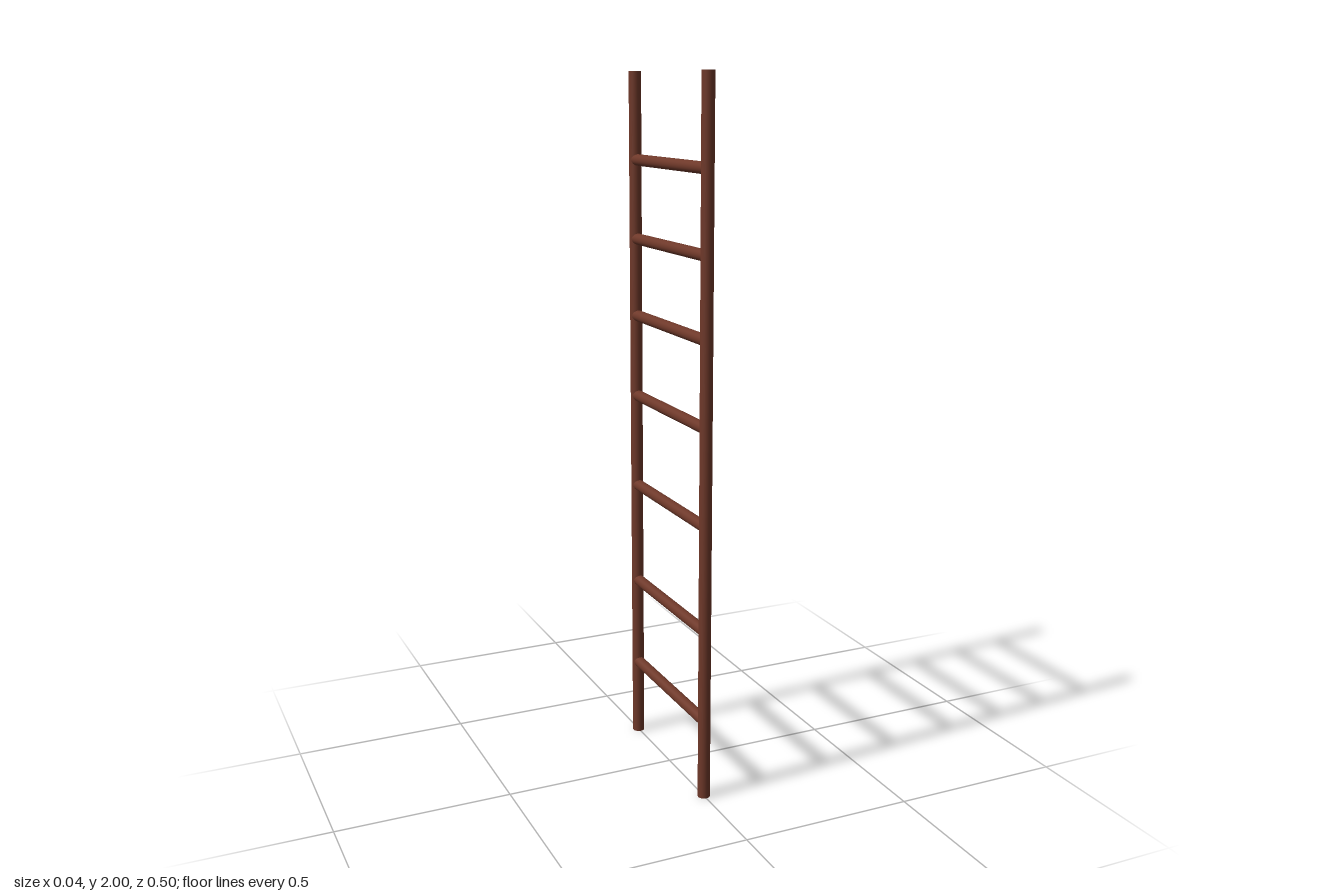
import * as THREE from 'three';

export function createModel() {
  const wood = new THREE.MeshStandardMaterial({ color: 0x6e3829 });
  wood.name = 'reddish brown wood';

  const ladder = new THREE.Group();
  ladder.name = 'ladder';

  const railZ = 0.235;

  // Two upright round side rails
  const railGeometry = new THREE.CylinderGeometry(0.0175, 0.0175, 2, 32);
  for (const side of [1, -1]) {
    const rail = new THREE.Mesh(railGeometry, wood);
    rail.name = side > 0 ? 'frontRail' : 'backRail';
    rail.position.set(0, 1, side * railZ);
    ladder.add(rail);
  }

  // Unevenly spaced round rungs, with ends buried in the rails
  const rungGeometry = new THREE.CylinderGeometry(0.016, 0.016, railZ * 2, 32);
  rungGeometry.rotateX(Math.PI / 2);
  [0.231, 0.498, 0.8, 1.074, 1.312, 1.534, 1.757].forEach((y, i) => {
    const rung = new THREE.Mesh(rungGeometry, wood);
    rung.name = `rung${i + 1}`;
    rung.position.y = y;
    ladder.add(rung);
  });

  return ladder;
}
